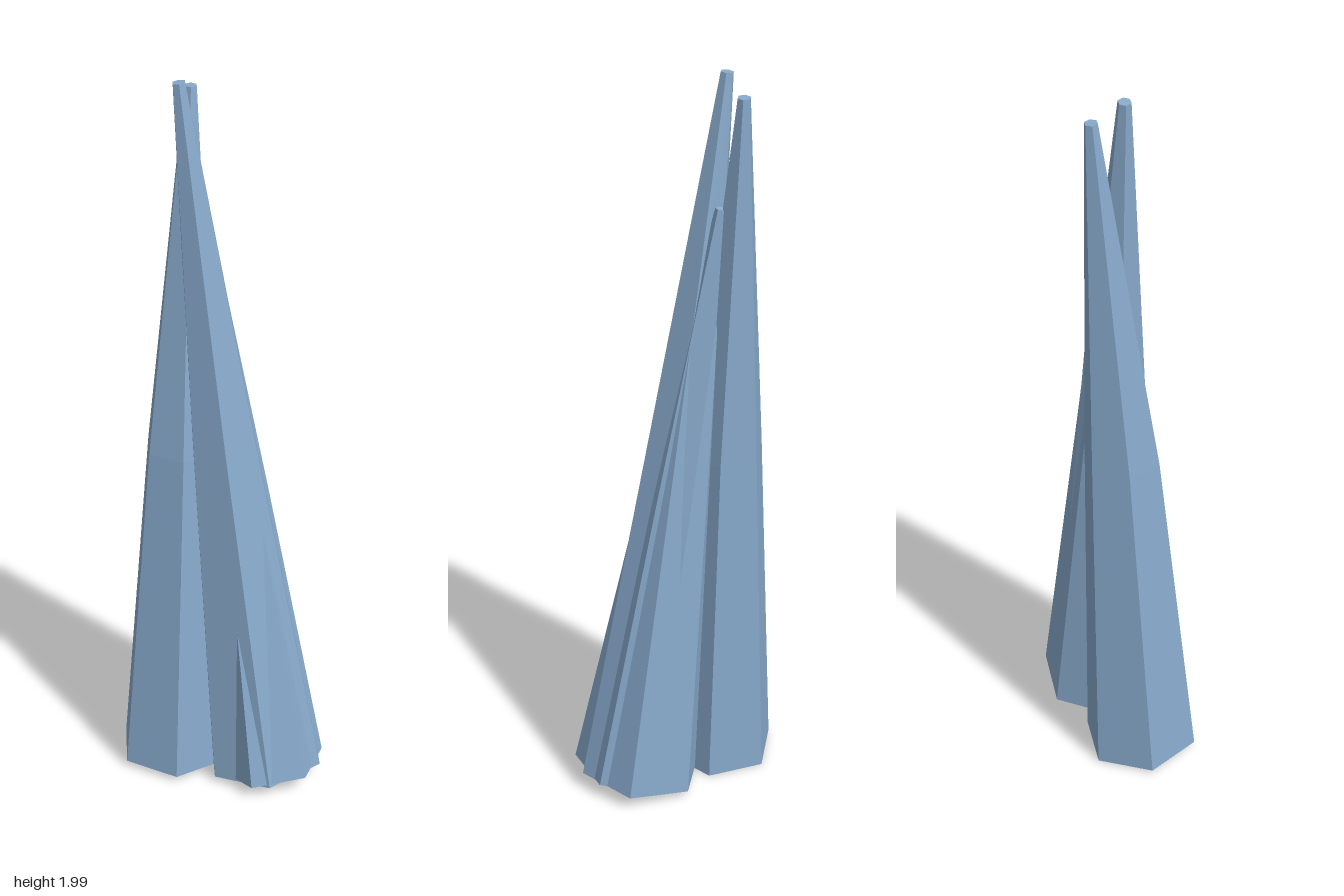
import * as THREE from 'three';

const SIDES = 6;

// A tapering six-sided spike through rings { c: [x, y, z], r }, listed from base to tip.
// Each ring is tilted square to the spike's axis; both ends are capped.
function spikeGeometry(rings, phase) {
  const first = rings[0].c, last = rings[rings.length - 1].c;
  const h = last[1] - first[1];
  const sx = (first[0] - last[0]) / h, sz = (first[2] - last[2]) / h;
  const corner = (ring, i) => {
    const a = phase + (i / SIDES) * Math.PI * 2;
    const dx = Math.cos(a) * ring.r, dz = Math.sin(a) * ring.r;
    return [ring.c[0] + dx, ring.c[1] + dx * sx + dz * sz, ring.c[2] + dz];
  };
  const pos = [];
  const tri = (a, b, c) => pos.push(...a, ...b, ...c);
  for (let i = 0; i < SIDES; i++) {
    for (let k = 0; k < rings.length - 1; k++) {
      const a = corner(rings[k], i), b = corner(rings[k], i + 1);
      const c = corner(rings[k + 1], i), d = corner(rings[k + 1], i + 1);
      tri(b, a, c);
      tri(b, c, d);
    }
    const top = rings[rings.length - 1];
    tri(first, corner(rings[0], i), corner(rings[0], i + 1));
    tri(last, corner(top, i + 1), corner(top, i));
  }
  const g = new THREE.BufferGeometry();
  g.setAttribute('position', new THREE.Float32BufferAttribute(pos, 3));
  g.computeVertexNormals();
  return g;
}

export function createModel() {
  const group = new THREE.Group();
  group.name = 'crystalCluster';
  const crystal = new THREE.MeshStandardMaterial({ color: 0x88aacc, flatShading: true });
  crystal.name = 'paleBlueCrystal';

  const spikes = [
    // upright spike on the model's right
    {
      name: 'uprightSpike', phase: Math.atan2(0.013, -0.155),
      rings: [
        { c: [-0.13, 0.016, 0.047], r: 0.155 },
        { c: [-0.13, 0.97, -0.006], r: 0.1 },
        { c: [-0.143, 1.95, -0.08], r: 0.017 },
      ],
    },
    // tall spike leaning across from the model's left
    {
      name: 'leaningSpike', phase: Math.atan2(-0.015, 0.165),
      rings: [
        { c: [0.115, 0.035, -0.035], r: 0.166 },
        { c: [-0.008, 1.02, -0.015], r: 0.092 },
        { c: [-0.125, 1.99, 0.0], r: 0.017 },
      ],
    },
    // shorter spike grown into the leaning one
    {
      name: 'shortSpike', phase: Math.atan2(0.045, 0.14),
      rings: [
        { c: [0.14, 0.04, -0.015], r: 0.148 },
        { c: [0.022, 0.85, -0.032], r: 0.085 },
        { c: [-0.096, 1.66, -0.052], r: 0.014 },
      ],
    },
  ];

  for (const s of spikes) {
    const mesh = new THREE.Mesh(spikeGeometry(s.rings, s.phase), crystal);
    mesh.name = s.name;
    group.add(mesh);
  }
  return group;
}
